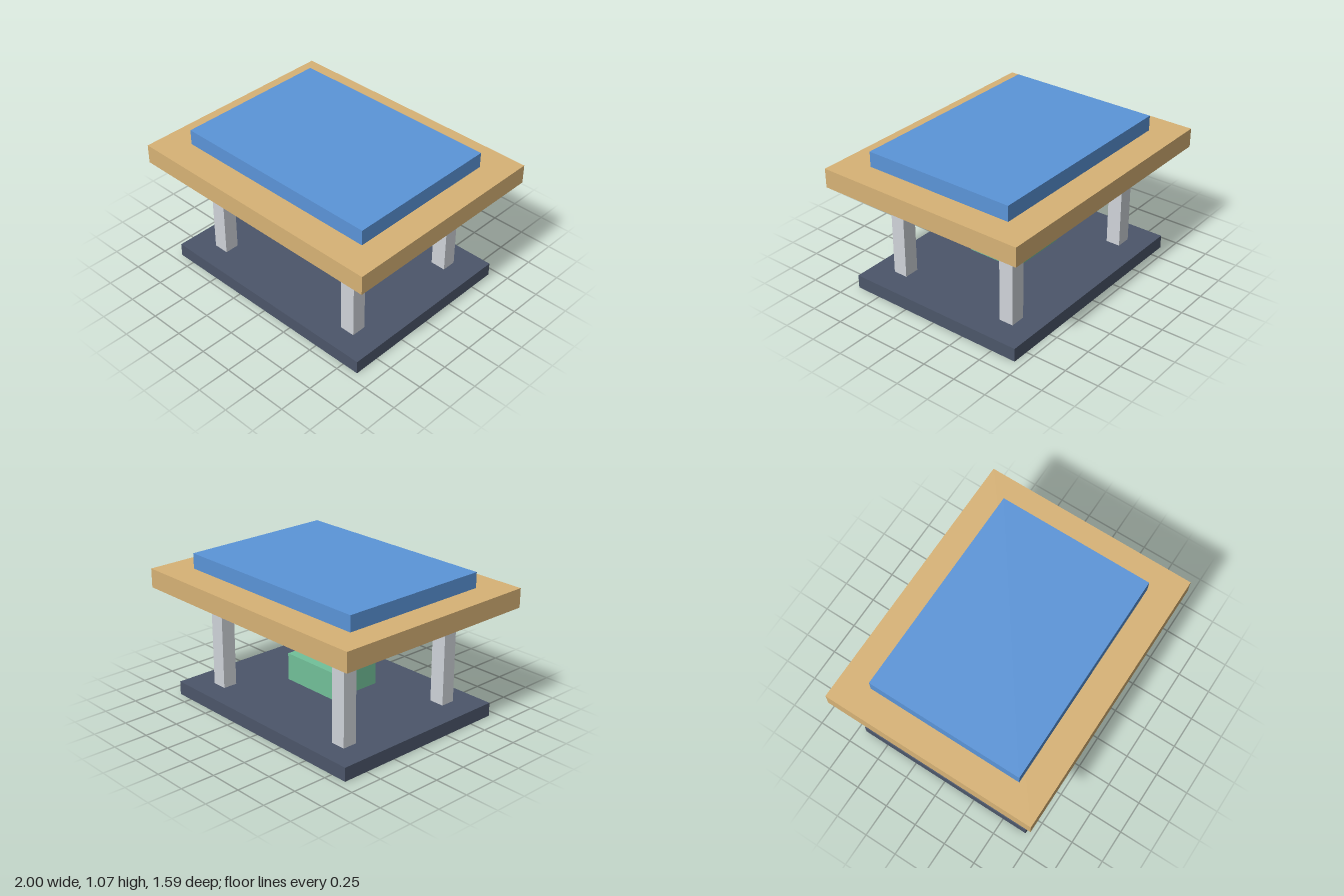
import * as THREE from 'three';

// Box from its half width, half depth and bottom/top heights
function slab(name, color, halfX, halfZ, bottom, top, x = 0, z = 0) {
  const mesh = new THREE.Mesh(
    new THREE.BoxGeometry(halfX * 2, top - bottom, halfZ * 2),
    new THREE.MeshStandardMaterial({ color })
  );
  mesh.position.set(x, (bottom + top) / 2, z);
  mesh.name = name;
  return mesh;
}

export function createModel() {
  const model = new THREE.Group();
  model.name = 'platformTable';

  // Base plate, floating block, table top and raised pad
  model.add(
    slab('base', 0x4c566a, 0.875, 0.69, 0, 0.1),
    slab('centreBlock', 0x72c19a, 0.234, 0.203, 0.185, 0.385),
    slab('tableTop', 0xd8b376, 1, 0.797, 0.82, 0.96),
    slab('topPad', 0x5b95d9, 0.796, 0.578, 0.96, 1.073)
  );

  // Four corner posts
  const posts = new THREE.Group();
  posts.name = 'posts';
  for (const [sx, side] of [[1, 'left'], [-1, 'right']])
    for (const [sz, end] of [[1, 'Front'], [-1, 'Back']])
      posts.add(slab(`${side}${end}Post`, 0xd0d4da, 0.057, 0.054, 0.1, 0.82, sx * 0.626, sz * 0.469));
  model.add(posts);

  return model;
}
